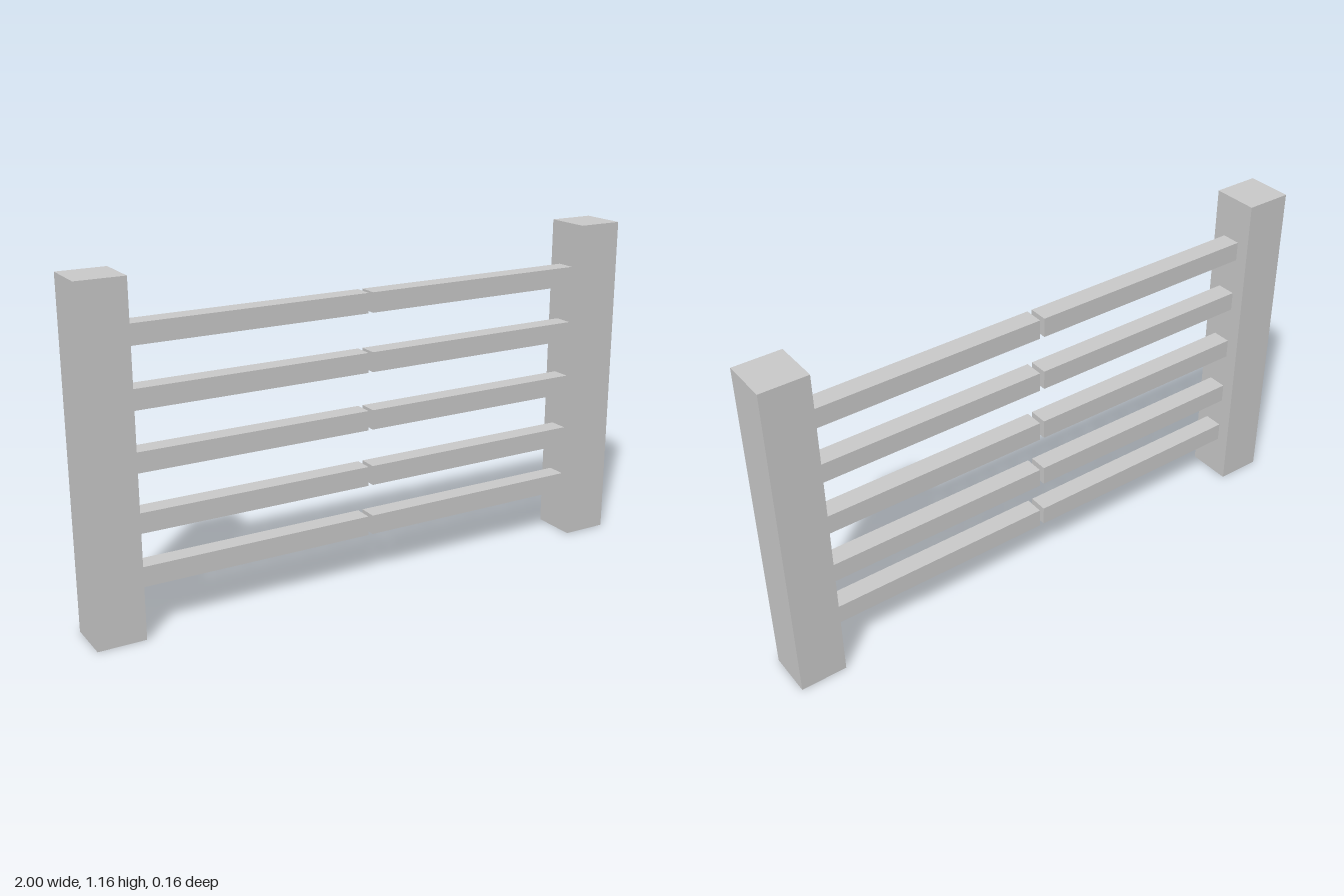
import * as THREE from 'three';

const POST = 0.162, HEIGHT = 1.157, RAIL = 0.068;

export function createModel() {
  const model = new THREE.Group();
  model.name = 'railFence';
  const material = new THREE.MeshStandardMaterial({ color: 0xcccccc, flatShading: true });

  // Box spanning x0..x1 and y0..y1, centred in depth
  const addBox = (name, x0, x1, y0, y1, depth) => {
    const mesh = new THREE.Mesh(new THREE.BoxGeometry(x1 - x0, y1 - y0, depth), material);
    mesh.position.set((x0 + x1) / 2, (y0 + y1) / 2, 0);
    mesh.name = name;
    model.add(mesh);
  };

  // Square end posts
  addBox('rightPost', -1, -1 + POST, 0, HEIGHT, POST);
  addBox('leftPost', 1 - POST, 1, 0, HEIGHT, POST);

  // Rails in two halves, with a narrow gap just off the centre
  [0.191, 0.371, 0.569, 0.769, 0.97].forEach((y, i) => {
    const y0 = y - RAIL / 2, y1 = y + RAIL / 2;
    addBox(`rightRail${i + 1}`, -1 + POST, -0.003, y0, y1, RAIL);
    addBox(`leftRail${i + 1}`, 0.014, 1 - POST, y0, y1, RAIL);
  });

  return model;
}
